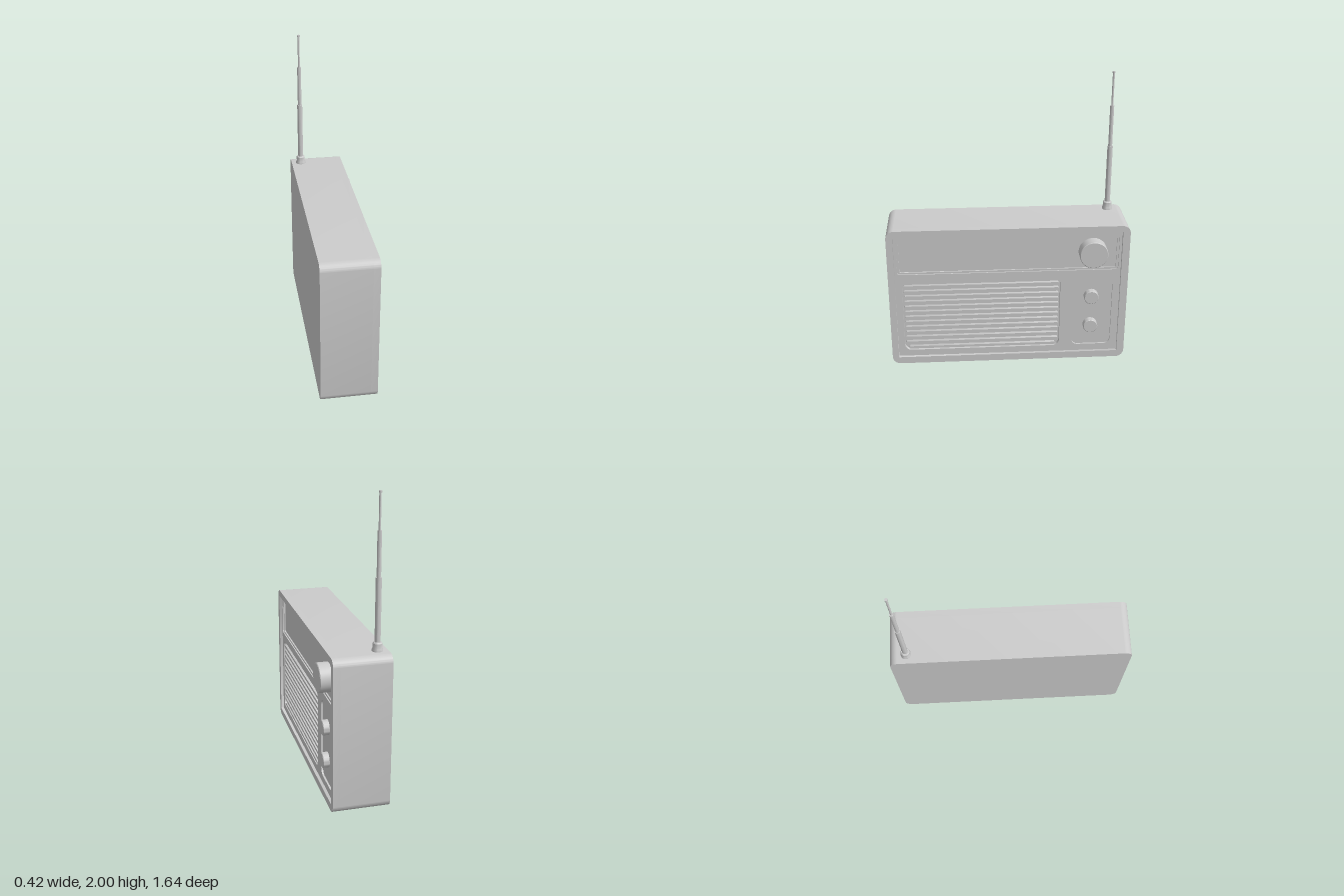
import * as THREE from 'three';
import { toCreasedNormals } from 'three/addons/utils/BufferGeometryUtils.js';

const material = new THREE.MeshStandardMaterial({ color: 0xcccccc });

// Rounded rectangle between two corners; u runs along the face, v is up
function roundedRect(u0, v0, u1, v1, r, Type = THREE.Shape) {
  const s = new Type();
  s.absarc(u1 - r, v0 + r, r, -Math.PI / 2, 0);
  s.absarc(u1 - r, v1 - r, r, 0, Math.PI / 2);
  s.absarc(u0 + r, v1 - r, r, Math.PI / 2, Math.PI);
  s.absarc(u0 + r, v0 + r, r, Math.PI, Math.PI * 1.5);
  s.closePath();
  return s;
}

function addMesh(parent, name, geometry) {
  const mesh = new THREE.Mesh(geometry, material);
  mesh.name = name;
  parent.add(mesh);
  return mesh;
}

// Slab from depth w0 to w1, with optional openings
function addSlab(parent, name, rect, w0, w1, holes = []) {
  const shape = roundedRect(...rect);
  for (const h of holes) shape.holes.push(roundedRect(...h, THREE.Path));
  const geo = new THREE.ExtrudeGeometry(shape, { depth: w1 - w0, bevelEnabled: false, curveSegments: 10 });
  geo.translate(0, 0, w0);
  return addMesh(parent, name, toCreasedNormals(geo, 0.6));
}

function addLathe(parent, name, profile, segments) {
  const geo = new THREE.LatheGeometry(profile.map(([r, y]) => new THREE.Vector2(r, y)), segments);
  return addMesh(parent, name, toCreasedNormals(geo, 0.6));
}

function addKnob(parent, name, u, v, r, w0, w1) {
  const b = 0.004;
  const knob = addLathe(parent, name, [[r, w0], [r, w1 - b], [r - b, w1], [0, w1]], 40);
  knob.rotation.x = Math.PI / 2;
  knob.position.set(u, v, 0);
}

export function createModel() {
  const model = new THREE.Group();
  model.name = 'portableRadio';

  // Built facing local +z, then turned so the face looks along +x
  const radio = new THREE.Group();
  radio.name = 'radio';
  radio.rotation.y = Math.PI / 2;
  model.add(radio);

  // Case with a raised rim around the recessed face
  const outline = [-0.82, 0, 0.82, 1.025, 0.055];
  const recess = [-0.775, 0.05, 0.77, 0.98, 0.003];
  addSlab(radio, 'caseBack', outline, -0.21, 0.12);
  addSlab(radio, 'caseRim', outline, 0.12, 0.165, [recess]);

  // Face plate with pockets for the display, speaker and controls
  const display = [-0.757, 0.692, 0.752, 0.965, 0.02];
  const speaker = [-0.73, 0.097, 0.357, 0.638, 0.045];
  const controls = [0.445, 0.1, 0.72, 0.635, 0.045];
  addSlab(radio, 'facePlate', recess, 0.12, 0.145, [display, speaker, controls]);
  addSlab(radio, 'displayFrame', display, 0.12, 0.137, [[-0.742, 0.705, 0.737, 0.952, 0.012]]);
  addSlab(radio, 'displayPanel', display, 0.115, 0.128);
  addSlab(radio, 'controlPanel', controls, 0.115, 0.133);

  // Speaker grille bars
  for (let i = 0; i < 13; i++) {
    const v = 0.114 + i * 0.04;
    const inset = i === 0 ? 0.03 : 0.01;
    addSlab(radio, 'grilleBar', [-0.73 + inset, v - 0.009, 0.357 - inset, v + 0.009, 0.0085], 0.115, 0.142);
  }

  // Knobs
  addKnob(radio, 'tuningKnob', 0.573, 0.83, 0.096, 0.12, 0.206);
  for (const v of [0.26, 0.488]) addKnob(radio, 'smallKnob', 0.573, v, 0.05, 0.12, 0.175);

  // Telescopic antenna: collar, three sections and a tip
  const antenna = new THREE.Group();
  antenna.name = 'antenna';
  antenna.position.set(0.707, 0, -0.143);
  radio.add(antenna);
  addLathe(antenna, 'antennaCollar',
    [[0.035, 1.015], [0.035, 1.035], [0.03, 1.045], [0.03, 1.075], [0.025, 1.082], [0, 1.082]], 24);
  const sections = [[0.0185, 1.07, 1.485], [0.0135, 1.48, 1.768], [0.007, 1.76, 1.992], [0.01, 1.988, 2]];
  sections.forEach(([r, y0, y1], i) => {
    addLathe(antenna, i < 3 ? 'antennaSection' : 'antennaTip', [[0, y0], [r, y0], [r, y1], [0, y1]], 20);
  });

  return model;
}
